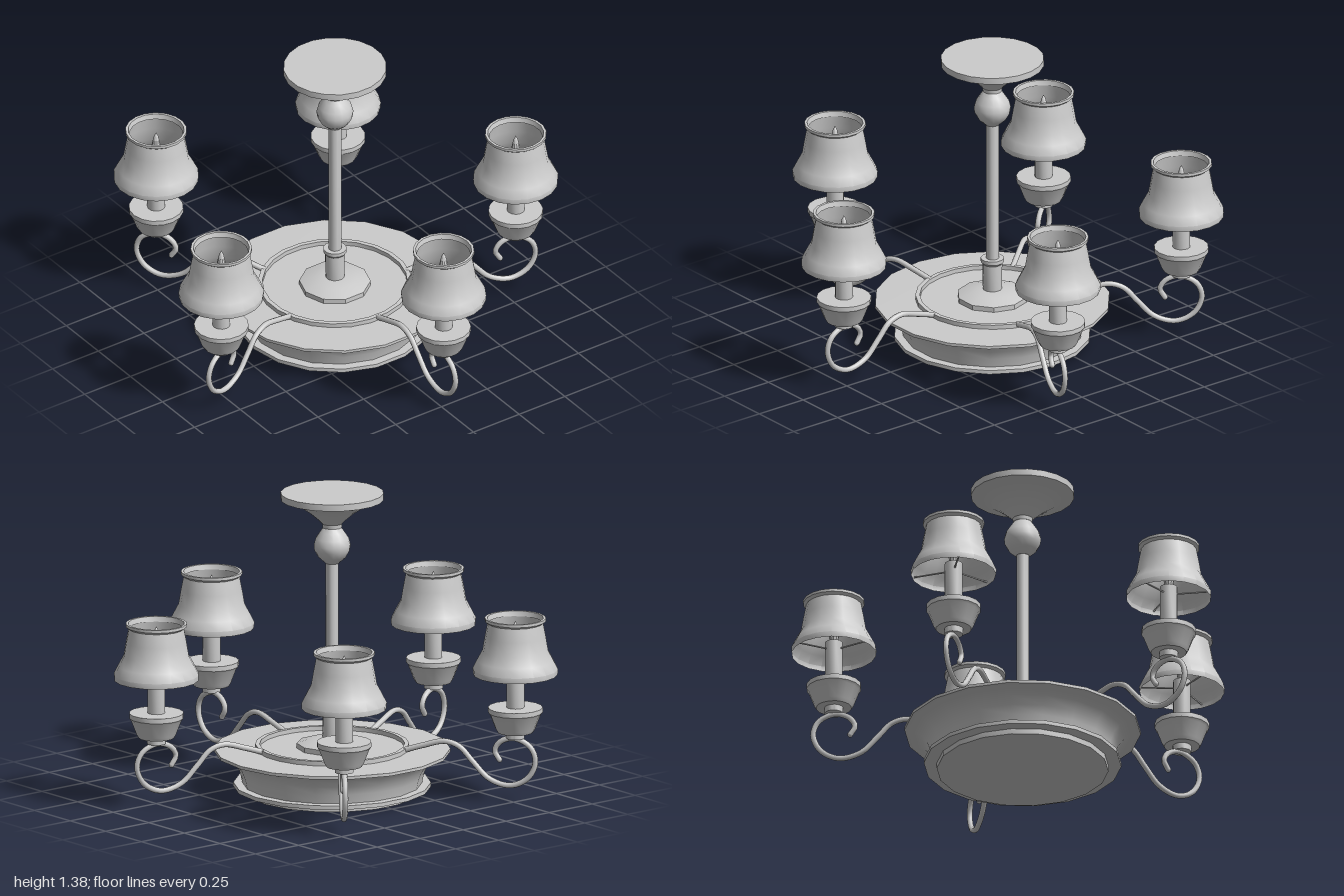
import * as THREE from 'three';
import { toCreasedNormals } from 'three/addons/utils/BufferGeometryUtils.js';

const grey = new THREE.MeshStandardMaterial({ color: 0xcccccc });
const thin = new THREE.MeshStandardMaterial({ color: 0xcccccc, side: THREE.DoubleSide });

// Turned part: profile of [radius, y] pairs from bottom to top
function turned(name, profile, sides, material = grey) {
  const points = profile.map(([r, y]) => new THREE.Vector2(r, y));
  const lathe = new THREE.LatheGeometry(points, sides, Math.PI / sides);
  const mesh = new THREE.Mesh(toCreasedNormals(lathe, 0.6), material);
  mesh.name = name;
  return mesh;
}

// One arm reaching out along +z, with its cup, candle, bulb and shade
function createArm() {
  const arm = new THREE.Group();
  const reach = 0.847;

  // S-curve that ends in a scroll, as [distance from axis, y]
  const path = [
    [0.335, 0.213], [0.42, 0.24], [0.52, 0.265], [0.588, 0.245], [0.65, 0.18],
    [0.726, 0.105], [0.824, 0.079], [0.905, 0.118], [0.94, 0.195], [0.916, 0.262],
    [0.839, 0.298], [0.775, 0.277], [0.752, 0.236], [0.774, 0.195],
  ].map(([r, y]) => new THREE.Vector3(0, y, r));
  const curve = new THREE.CatmullRomCurve3(path);
  const scroll = new THREE.Mesh(new THREE.TubeGeometry(curve, 56, 0.013, 8), grey);
  scroll.name = 'scrollArm';
  const tip = new THREE.Mesh(new THREE.SphereGeometry(0.013, 8, 6), grey);
  tip.name = 'scrollTip';
  tip.position.copy(path[path.length - 1]);
  arm.add(scroll, tip);

  const lamp = new THREE.Group();
  lamp.name = 'lamp';
  lamp.position.z = reach;
  lamp.add(
    turned('candleCup', [
      [0, 0.3], [0.042, 0.3], [0.042, 0.328], [0.08, 0.328], [0.09, 0.345],
      [0.115, 0.41], [0.123, 0.42], [0.123, 0.442], [0, 0.442],
    ], 16),
    turned('candle', [[0.04, 0.44], [0.04, 0.65], [0, 0.65]], 12),
    turned('bulb', [
      [0.018, 0.65], [0.025, 0.69], [0.025, 0.73], [0.019, 0.78], [0.01, 0.82], [0, 0.84],
    ], 10),
    turned('shade', [
      [0.19, 0.595], [0.192, 0.62], [0.172, 0.66], [0.148, 0.705], [0.137, 0.77],
      [0.125, 0.832], [0.138, 0.842], [0.138, 0.855], [0.126, 0.855], [0.12, 0.832],
    ], 18, thin),
  );

  // Three thin wires that carry the shade
  for (let i = 0; i < 3; i++) {
    const wire = new THREE.Group();
    wire.name = 'shadeWire';
    wire.rotation.y = Math.PI + (i * Math.PI * 2) / 3;
    const rod = new THREE.Mesh(new THREE.CylinderGeometry(0.004, 0.004, 0.155, 5), grey);
    rod.name = 'wireRod';
    rod.rotation.z = Math.PI / 2;
    rod.position.set(0.112, 0.615, 0);
    wire.add(rod);
    lamp.add(wire);
  }
  arm.add(lamp);
  return arm;
}

export function createModel() {
  const model = new THREE.Group();
  model.name = 'chandelier';
  const body = new THREE.Group();
  body.name = 'body';
  body.position.z = -0.08;
  model.add(body);

  // Wide dish with a stepped base and a flared rim
  body.add(turned('dish', [
    [0, 0], [0.385, 0], [0.385, 0.025], [0.443, 0.025], [0.443, 0.043], [0.403, 0.043],
    [0.412, 0.085], [0.428, 0.125], [0.457, 0.162], [0.49, 0.178], [0.53, 0.186],
    [0.53, 0.2], [0, 0.205],
  ], 18));

  // Raised ring that holds the arms
  body.add(turned('armRing', [
    [0.345, 0.2], [0.345, 0.222], [0.325, 0.222], [0.325, 0.2],
  ], 24));

  // Hub and stem socket
  body.add(turned('hub', [
    [0.16, 0.2], [0.16, 0.226], [0.1, 0.245], [0.055, 0.252], [0, 0.252],
  ], 10));
  body.add(turned('stemSocket', [
    [0.043, 0.25], [0.045, 0.375], [0.053, 0.385], [0.053, 0.402], [0, 0.402],
  ], 12));

  // Stem, ball and ceiling canopy
  body.add(turned('stem', [[0.029, 0.4], [0.029, 1.07]], 12));
  body.add(turned('stemBall', [
    [0, 1.055], [0.03, 1.055], [0.062, 1.083], [0.08, 1.115], [0.083, 1.14],
    [0.075, 1.17], [0.055, 1.2], [0.04, 1.222],
  ], 16));
  body.add(turned('canopy', [
    [0, 1.22], [0.043, 1.22], [0.045, 1.238], [0.065, 1.258], [0.105, 1.292],
    [0.155, 1.325], [0.2, 1.342], [0.232, 1.35], [0.232, 1.38], [0, 1.38],
  ], 20));

  // Five arms around the dish
  for (let i = 0; i < 5; i++) {
    const arm = createArm();
    arm.name = `arm${i + 1}`;
    arm.rotation.y = (i * Math.PI * 2) / 5;
    body.add(arm);
  }
  return model;
}
